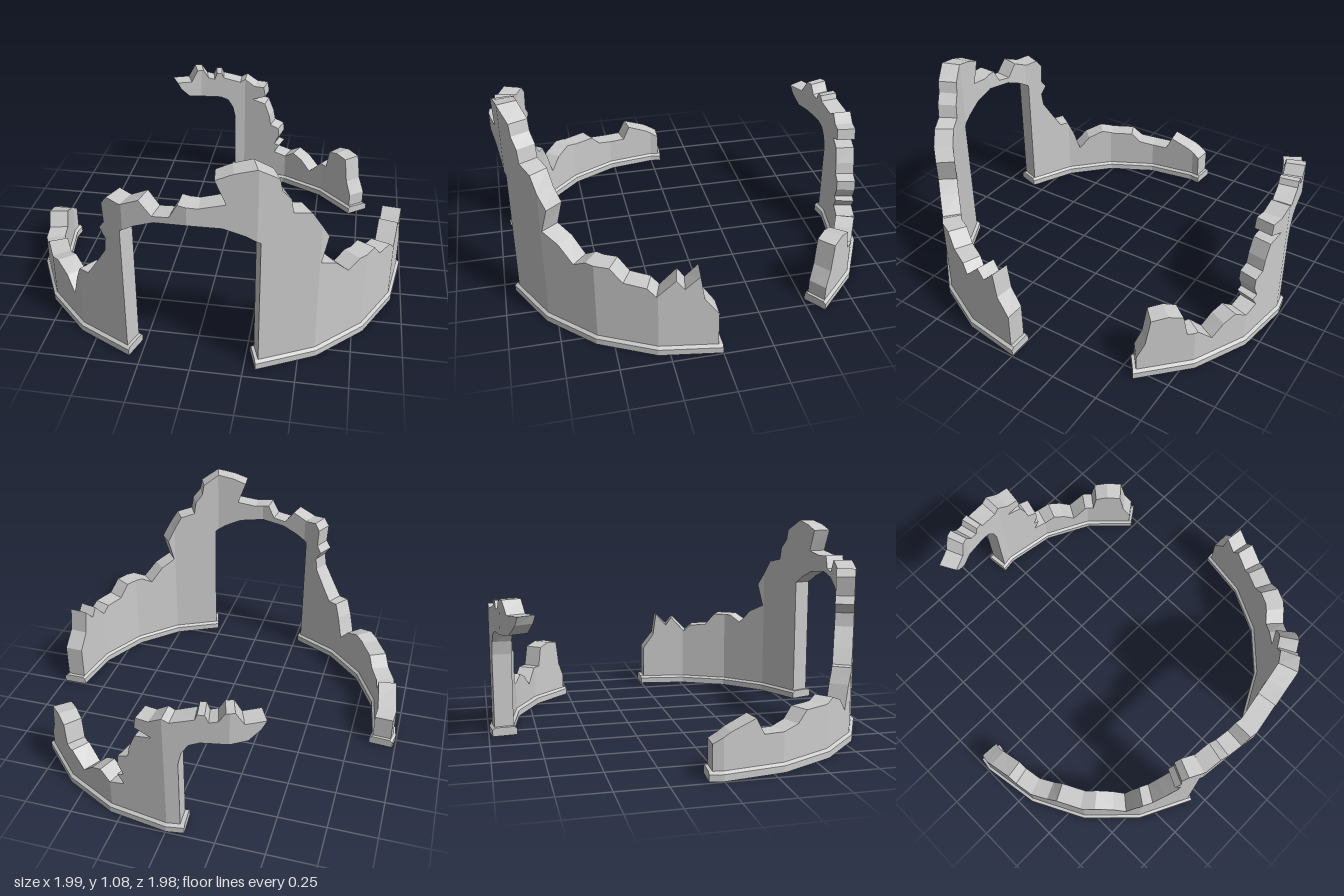
import * as THREE from 'three';

const STEP = 18;              // the ring is a 20-sided polygon
const OUTER = 0.98, INNER = 0.88;
const material = new THREE.MeshStandardMaterial({ color: 0xcccccc, flatShading: true, side: THREE.DoubleSide });

// Point on the faceted ring: angle in degrees from +z towards +x
function bend(angle, y, r) {
  const k = Math.floor(angle / STEP), t = angle / STEP - k;
  const a = THREE.MathUtils.degToRad(k * STEP), b = THREE.MathUtils.degToRad((k + 1) * STEP);
  const mix = THREE.MathUtils.lerp;
  return [r * mix(Math.sin(a), Math.sin(b), t), y, r * mix(Math.cos(a), Math.cos(b), t)];
}

function toMesh(triangles, name) {
  const g = new THREE.BufferGeometry();
  g.setAttribute('position', new THREE.Float32BufferAttribute(triangles.flat(), 3));
  g.computeVertexNormals();
  const mesh = new THREE.Mesh(g, material);
  mesh.name = name;
  return mesh;
}

function quad(out, a, b, c, d) {
  out.push(a, b, c, a, c, d);
}

// Ring corners lying strictly between two angles
function cornersBetween(a, b) {
  const list = [];
  for (let k = Math.ceil(Math.min(a, b) / STEP) * STEP; k < Math.max(a, b); k += STEP) {
    if (k > Math.min(a, b)) list.push(k);
  }
  return a < b ? list : list.reverse();
}

// Keep the part of an outline on one side of a vertical line
function clip(points, limit, sign) {
  const out = [];
  points.forEach((p, i) => {
    const q = points[(i + 1) % points.length];
    const dp = (p.x - limit) * sign, dq = (q.x - limit) * sign;
    if (dp >= 0) out.push(p);
    if (dp * dq < 0) out.push(p.clone().lerp(q, dp / (dp - dq)));
  });
  return out;
}

// Broken wall: an (angle, height) outline wrapped round the ring
function wall(outline, name) {
  let pts = outline.map(([a, y]) => new THREE.Vector2(a, y));
  if (THREE.ShapeUtils.isClockWise(pts)) pts = pts.reverse();
  const out = [];
  const angles = pts.map(p => p.x);
  const first = Math.floor(Math.min(...angles) / STEP) * STEP;

  // inside and outside faces, one facet at a time
  for (let a = first; a < Math.max(...angles); a += STEP) {
    const facet = clip(clip(pts, a, 1), a + STEP, -1);
    if (facet.length < 3) continue;
    for (const face of THREE.ShapeUtils.triangulateShape(facet, [])) {
      let tri = face.map(i => facet[i]);
      if (THREE.ShapeUtils.area(tri) < 0) tri = tri.reverse();
      const [p, q, s] = tri;
      out.push(...[p, q, s].map(v => bend(v.x, v.y, OUTER)));
      out.push(...[p, s, q].map(v => bend(v.x, v.y, INNER)));
    }
  }

  // broken rim through the thickness
  pts.forEach((p, i) => {
    const q = pts[(i + 1) % pts.length];
    const cuts = cornersBetween(p.x, q.x).map(k => p.clone().lerp(q, (k - p.x) / (q.x - p.x)));
    const run = [p, ...cuts, q];
    for (let j = 0; j + 1 < run.length; j++) {
      const m = run[j], n = run[j + 1];
      quad(out, bend(m.x, m.y, OUTER), bend(m.x, m.y, INNER), bend(n.x, n.y, INNER), bend(n.x, n.y, OUTER));
    }
  });
  return toMesh(out, name);
}

// Chamfered base course following the ring
function plinth(from, to, name) {
  const section = [[0.866, 0], [0.995, 0], [0.995, 0.033], [0.98, 0.045], [0.88, 0.045], [0.866, 0.033]];
  const stops = [from, ...cornersBetween(from, to), to];
  const rings = stops.map(a => section.map(([r, y]) => bend(a, y, r)));
  const out = [], n = section.length;
  for (let i = 0; i + 1 < rings.length; i++) {
    for (let j = 0; j < n; j++) {
      const k = (j + 1) % n;
      quad(out, rings[i][j], rings[i + 1][j], rings[i + 1][k], rings[i][k]);
    }
  }
  const start = rings[0], end = rings[rings.length - 1];
  for (let j = 1; j + 1 < n; j++) {
    out.push(start[0], start[j], start[j + 1], end[0], end[j + 1], end[j]);
  }
  return toMesh(out, name);
}

export function createModel() {
  const model = new THREE.Group();
  model.name = 'ruinedRing';

  // Front wall: crumbled tops, then the gateway arch
  const rightTop = [
    [-93, 0], [-93, 0.17], [-88, 0.22], [-80.5, 0.27], [-78, 0.19], [-72, 0.19], [-66.5, 0.21],
    [-63, 0.265], [-55, 0.265], [-50.4, 0.285], [-44.6, 0.25], [-40.5, 0.18], [-38, 0.3], [-35.6, 0.38],
    [-32.3, 0.38], [-29, 0.46], [-25, 0.56], [-24.4, 0.63], [-26.4, 0.68], [-24.6, 0.72], [-25, 0.82],
    [-23, 0.86], [-18.5, 0.85], [-13, 0.89], [-9.5, 0.82], [-4.8, 0.83], [-2.4, 0.9],
  ];
  const leftTop = [
    [3, 0.89], [10, 0.91], [7.1, 1.03], [11.9, 1.06], [17.8, 1.08], [23.7, 1.02], [24.4, 0.96],
    [27, 0.91], [27.7, 0.84], [33, 0.82], [38.8, 0.67], [36.5, 0.54], [42, 0.5], [47, 0.42],
    [51.3, 0.46], [58.5, 0.46], [62.3, 0.39], [69, 0.38], [71.6, 0.34], [77, 0.43], [79.3, 0.38],
    [83.5, 0.45], [84.7, 0.32], [88.8, 0.23], [88.8, 0],
  ];
  const halfArch = [[19, 0], [19, 0.71], [15, 0.75], [9, 0.79]];
  const arch = [...halfArch, [0, 0.805], ...halfArch.map(([a, y]) => [-a, y]).reverse()];
  model.add(wall([...rightTop, ...leftTop, ...arch], 'frontWall'));

  // Back wall: end stub, low stretch, rising edge and a broken half arch
  const backTop = [
    [127, 0], [127, 0.12], [129.5, 0.2], [131, 0.34], [136, 0.35], [140.4, 0.33], [141.7, 0.22],
    [145, 0.22], [150, 0.14], [154, 0.2], [158, 0.23], [162, 0.19], [166.8, 0.21], [164.8, 0.26],
    [166.8, 0.27], [165.1, 0.33], [165.4, 0.38], [168.7, 0.4], [169.4, 0.46], [171.4, 0.54],
    [176.7, 0.56], [171.4, 0.59], [172, 0.65], [176, 0.65], [180, 0.69], [182, 0.67], [188.8, 0.7],
    [189.5, 0.73], [191.5, 0.73], [192.5, 0.69], [195, 0.7], [197, 0.75], [199.5, 0.75], [202, 0.68],
    [208, 0.685],
  ];
  const brokenArch = [[206.5, 0.64], [203, 0.585], [198, 0.575], [190, 0.57], [187, 0.55], [185, 0.5], [184, 0.43], [184, 0]];
  model.add(wall([...backTop, ...brokenArch], 'backWall'));

  // Base courses
  model.add(plinth(-94, -18, 'rightPlinth'));
  model.add(plinth(18, 90, 'leftPlinth'));
  model.add(plinth(126, 185.3, 'backPlinth'));
  return model;
}
